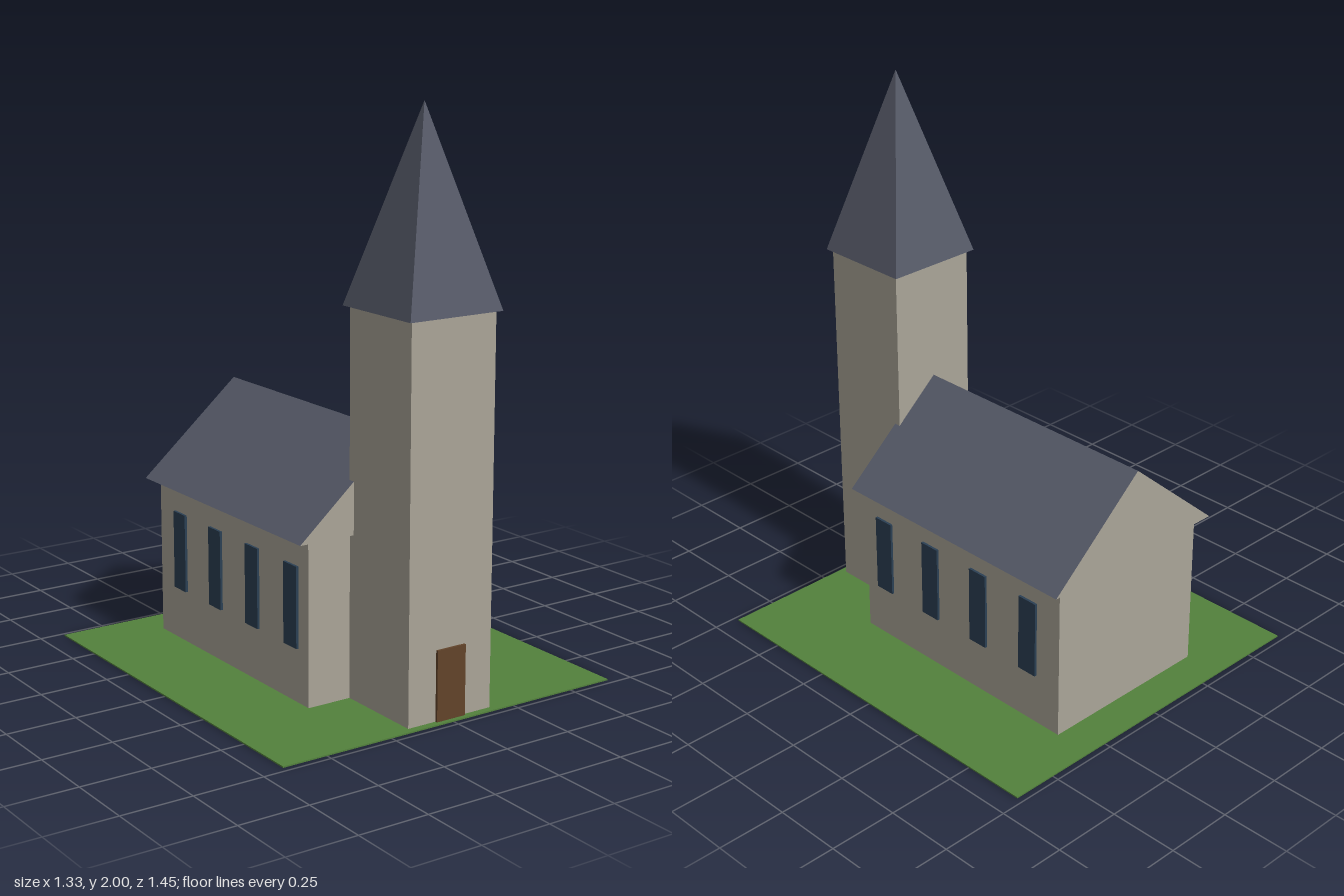
import * as THREE from 'three';

const flat = (name, color) => {
  const m = new THREE.MeshStandardMaterial({ color, flatShading: true });
  m.name = name;
  return m;
};

export function createModel() {
  const church = new THREE.Group();
  church.name = 'church';

  const stone = flat('stone', 0xaaa598);
  const slate = flat('slate', 0x565a68);
  const grass = flat('grass', 0x53813c);
  const wood = flat('wood', 0x62442a);
  const glass = flat('glass', 0x2b4054);

  const add = (name, geometry, material, x, y, z) => {
    const mesh = new THREE.Mesh(geometry, material);
    mesh.name = name;
    mesh.position.set(x, y, z);
    church.add(mesh);
    return mesh;
  };
  // Box given by its x width, y range and z range, centred on x
  const block = (name, material, w, y0, y1, z0, z1, x = 0) =>
    add(name, new THREE.BoxGeometry(w, y1 - y0, z1 - z0), material, x, (y0 + y1) / 2, (z0 + z1) / 2);

  const groundTop = 0.005;
  block('lawn', grass, 1.33, 0, groundTop, -0.727, 0.727);

  // Nave and tower walls
  block('nave', stone, 0.664, groundTop, 0.578, -0.586, 0.372);
  block('tower', stone, 0.334, groundTop, 1.34, 0.37, 0.702);

  // Gabled roof: stone gable ends, slate slopes and underside
  const gable = new THREE.Shape();
  gable.moveTo(-0.378, 0);
  gable.lineTo(0.378, 0);
  gable.lineTo(0, 0.327);
  gable.closePath();
  const roof = new THREE.ExtrudeGeometry(gable, { depth: 1.008, bevelEnabled: false });
  add('naveRoof', roof, [stone, slate], 0, 0.578, -0.614);

  // Four-sided spire
  const spire = new THREE.ConeGeometry(0.183 * Math.SQRT2, 0.66, 4);
  spire.rotateY(Math.PI / 4);
  add('spire', spire, slate, 0, 1.67, 0.534);

  block('door', wood, 0.114, groundTop, 0.25, 0.702, 0.711);

  // Four tall windows on each side
  for (const side of [-1, 1]) {
    for (let i = 0; i < 4; i++) {
      const z = 0.274 - i * 0.239;
      block('window', glass, 0.009, 0.195, 0.48, z - 0.039, z + 0.039, side * 0.3365);
    }
  }

  return church;
}
